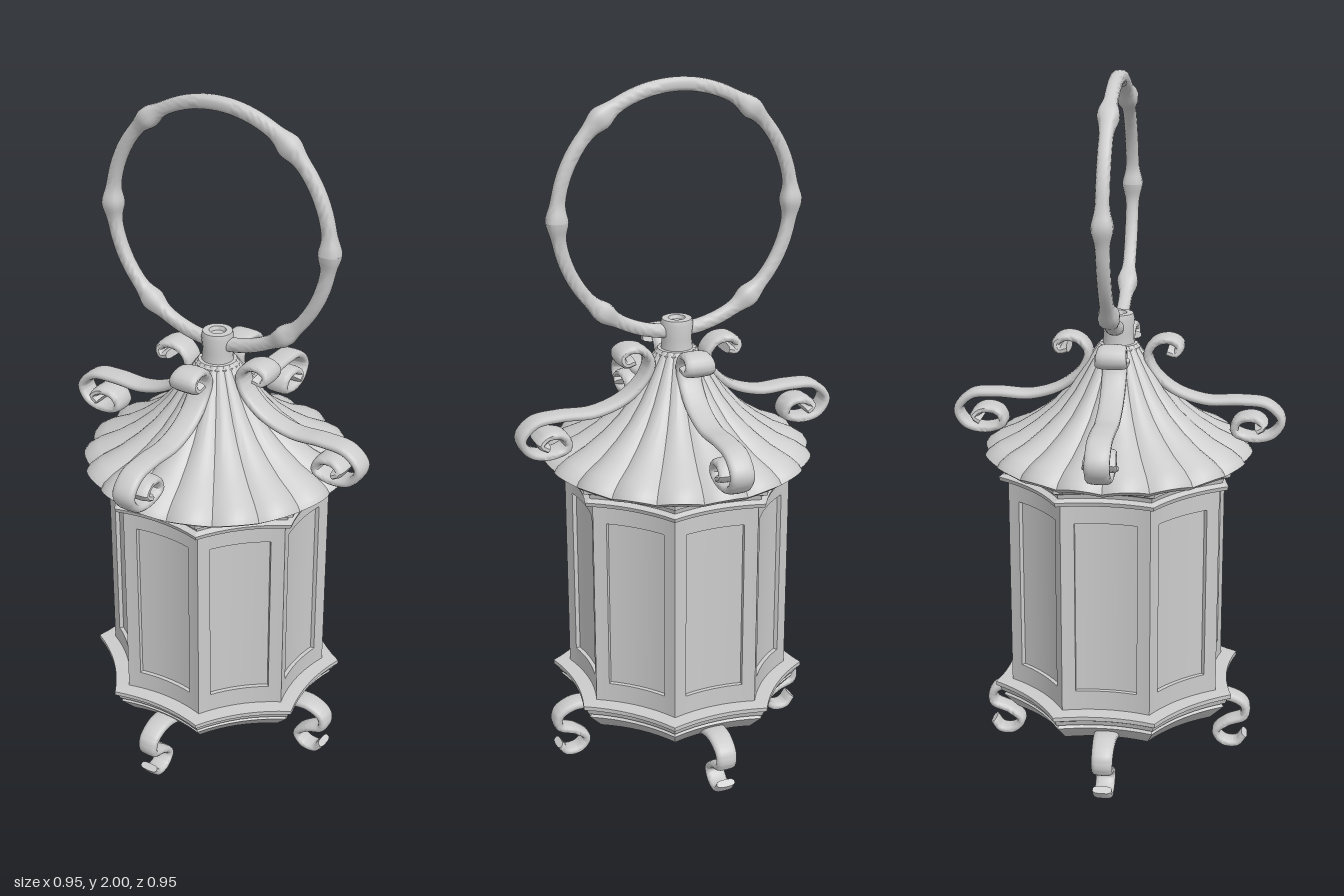
import * as THREE from 'three';
import { toCreasedNormals } from 'three/addons/utils/BufferGeometryUtils.js';

const material = new THREE.MeshStandardMaterial({ color: 0xcccccc });
const SIDES = 8, HALF = Math.tan(Math.PI / 8), SAG = 0.06;

function part(name, geometry, crease = 0.6) {
  const mesh = new THREE.Mesh(toCreasedNormals(geometry, crease), material);
  mesh.name = name;
  return mesh;
}

// Skin a stack of closed rings (arrays of Vector3) and cap both ends.
function loft(rings) {
  const n = rings[0].length, pos = [], index = [];
  rings.forEach(r => r.forEach(p => pos.push(p.x, p.y, p.z)));
  for (let i = 0; i < rings.length - 1; i++) {
    for (let j = 0; j < n; j++) {
      const a = i * n + j, b = i * n + (j + 1) % n;
      index.push(a, b, b + n, a, b + n, a + n);
    }
  }
  for (const end of [0, rings.length - 1]) {
    const c = new THREE.Vector3();
    rings[end].forEach(p => c.addScaledVector(p, 1 / n));
    const id = pos.length / 3;
    pos.push(c.x, c.y, c.z);
    for (let j = 0; j < n; j++) {
      const a = end * n + j, b = end * n + (j + 1) % n;
      if (end === 0) index.push(id, b, a);
      else index.push(id, a, b);
    }
  }
  const g = new THREE.BufferGeometry();
  g.setAttribute('position', new THREE.Float32BufferAttribute(pos, 3));
  g.setIndex(index);
  return g;
}

// Octagon with gently hollowed sides; a is the distance to each side's ends.
function octagonRing(a, y) {
  const ring = [], up = new THREE.Vector3(0, 1, 0);
  for (let k = 0; k < SIDES; k++) {
    for (let i = 0; i < 8; i++) {
      const s = i / 4 - 1;
      ring.push(new THREE.Vector3(a * HALF * s, y, a - SAG * a * (1 - s * s))
        .applyAxisAngle(up, k * Math.PI / 4));
    }
  }
  return ring;
}
const octagonStack = profile => loft(profile.map(([a, y]) => octagonRing(a, y)));

// Sweep an oval section along a curve lying in the xy plane.
function sweep(curve, steps, width, thick) {
  const rings = [], n = 14;
  for (let i = 0; i <= steps; i++) {
    const t = i / steps, p = curve.getPointAt(t), d = curve.getTangentAt(t);
    const ring = [];
    for (let j = 0; j < n; j++) {
      const f = j / n * Math.PI * 2, c = Math.cos(f), s = Math.sin(f);
      const u = Math.sign(c) * Math.pow(Math.abs(c), 0.7) * thick(t);
      const v = Math.sign(s) * Math.pow(Math.abs(s), 0.7) * width(t);
      ring.push(new THREE.Vector3(p.x - d.y * u, p.y + d.x * u, v));
    }
    rings.push(ring);
  }
  return loft(rings);
}
const path = (pts, closed = false) =>
  new THREE.CatmullRomCurve3(pts.map(([x, y]) => new THREE.Vector3(x, y, 0)), closed);

// Box bent to follow the hollow of one body side.
function bentBox(name, x0, x1, y0, y1, front) {
  const A = 0.3, g = new THREE.BoxGeometry(x1 - x0, y1 - y0, 0.02, 8, 1, 1);
  g.translate((x0 + x1) / 2, (y0 + y1) / 2, front - 0.01);
  const p = g.attributes.position;
  for (let i = 0; i < p.count; i++) {
    const s = p.getX(i) / (A * HALF);
    p.setZ(i, p.getZ(i) + A - SAG * A * (1 - s * s));
  }
  return part(name, g);
}

function createBodySide() {
  const side = new THREE.Group(), w = 0.3 * HALF, px = 0.087;
  const low = 0.235, high = 0.88, p0 = 0.3, p1 = 0.81;
  side.name = 'bodySide';
  side.add(
    bentBox('leftStile', px, w, low, high, 0),
    bentBox('rightStile', -w, -px, low, high, 0),
    bentBox('bottomRail', -px, px, low, p0, 0),
    bentBox('topRail', -px, px, p1, high, 0),
    bentBox('panel', -px, px, p0, p1, -0.012));
  return side;
}

// Fluted roof with a scalloped rim.
function createRoof() {
  const profile = [[0.3, 0.93], [0.365, 0.925], [0.385, 0.94], [0.375, 0.955], [0.345, 0.975],
    [0.29, 1.0], [0.235, 1.035], [0.185, 1.075], [0.14, 1.125], [0.105, 1.175], [0.075, 1.22], [0.055, 1.25]];
  const lobes = 18, seg = 8;
  return part('roof', loft(profile.map(([r, y]) => {
    const ring = [];
    for (let i = 0; i < lobes * seg; i++) {
      const f = (i / seg - 0.5) * Math.PI * 2 / lobes, s = (i % seg) / seg * 2 - 1;
      const q = r * (1 - 0.045 * s * s);
      ring.push(new THREE.Vector3(q * Math.sin(f), y - 0.035 * r * s * s, q * Math.cos(f)));
    }
    return ring;
  })), 0.5);
}

export function createModel() {
  const model = new THREE.Group();
  model.name = 'lantern';

  // Base, body and cornice
  model.add(part('base', octagonStack([[0.265, 0.14], [0.285, 0.15], [0.325, 0.195], [0.318, 0.203],
    [0.33, 0.208], [0.335, 0.222], [0.346, 0.228], [0.346, 0.24], [0.29, 0.243]]), 0.4));
  for (let k = 0; k < SIDES; k++) {
    const side = createBodySide();
    side.rotation.y = k * Math.PI / 4;
    model.add(side);
  }
  model.add(part('cornice', octagonStack([[0.29, 0.862], [0.322, 0.868], [0.326, 0.88], [0.308, 0.887],
    [0.312, 0.9], [0.33, 0.908], [0.332, 0.925], [0.3, 0.945]]), 0.4));
  model.add(createRoof());

  // Finial holding the ring
  const finial = [[0.062, 1.215], [0.062, 1.24], [0.045, 1.25], [0.042, 1.28], [0.046, 1.32],
    [0.042, 1.335], [0.024, 1.336], [0.02, 1.325], [0, 1.325]];
  model.add(part('finial', new THREE.LatheGeometry(finial.map(([x, y]) => new THREE.Vector2(x, y)), 20)));

  // Carrying ring with bamboo-like knots
  const circle = [];
  for (let i = 0; i < 32; i++) {
    const f = i / 32 * Math.PI * 2;
    circle.push([0.341 * Math.cos(f), 1.64 + 0.341 * Math.sin(f)]);
  }
  const knots = [0, 51, 129, 180, 231, 309, 360];
  const ringRadius = t => knots.reduce((r, k) =>
    r + 0.011 * Math.exp(-Math.pow((t * 360 - k) / 5.5, 2)), 0.019);
  model.add(part('carryingRing', sweep(path(circle, true), 180, ringRadius, ringRadius), 1));

  // Scrolled roof arms and feet, four of each
  const arm = sweep(path([[0.14, 1.235], [0.165, 1.228], [0.175, 1.248], [0.15, 1.265], [0.11, 1.258],
    [0.085, 1.225], [0.1, 1.175], [0.16, 1.12], [0.25, 1.09], [0.35, 1.092], [0.425, 1.083],
    [0.464, 1.04], [0.44, 0.997], [0.38, 0.985], [0.332, 1.005], [0.345, 1.037], [0.39, 1.045],
    [0.415, 1.025], [0.395, 1.012]]),
    110, t => 0.034 + 0.016 * Math.pow(Math.abs(2 * t - 1), 5), () => 0.013);
  const foot = sweep(path([[0.25, 0.15], [0.285, 0.165], [0.335, 0.168], [0.38, 0.143], [0.382, 0.105],
    [0.33, 0.08], [0.297, 0.048], [0.32, 0.017], [0.36, 0.015], [0.383, 0.043]]),
    70, t => 0.028 + 0.01 * Math.pow(1 - t, 3), t => 0.015 - 0.004 * t);
  for (let k = 0; k < 4; k++) {
    for (const [name, g] of [['roofArm', arm], ['foot', foot]]) {
      const mesh = part(name, g, 0.9);
      mesh.rotation.y = k * Math.PI / 2;
      model.add(mesh);
    }
  }
  return model;
}
